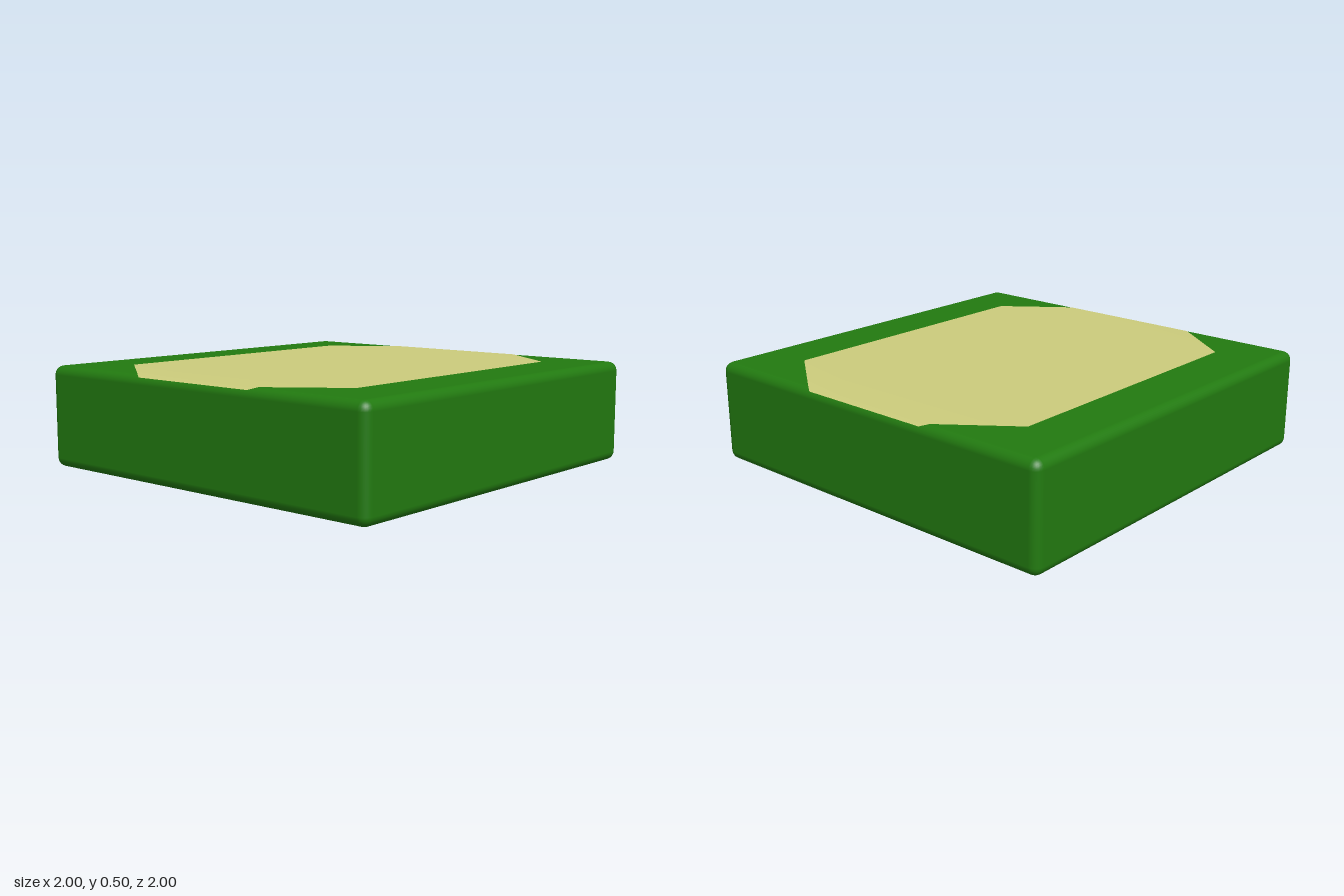
import * as THREE from 'three';
import { RoundedBoxGeometry } from 'three/addons/geometries/RoundedBoxGeometry.js';

// Cross-sections of the path along x: [x, height, half depth]
const PATH_SECTIONS = [
  [-0.99, 0.488, 0.35],
  [-0.963, 0.501, 0.39],
  [-0.72, 0.501, 0.715],
  [0.72, 0.501, 0.715],
  [0.963, 0.501, 0.39],
  [0.99, 0.488, 0.35],
];

// Thin sheet lying on the block and dipping over its two side edges
function pathGeometry() {
  const geometry = new THREE.PlaneGeometry(1, 1, PATH_SECTIONS.length - 1, 1);
  const position = geometry.attributes.position;
  for (let i = 0; i < position.count; i++) {
    const [x, y, halfDepth] = PATH_SECTIONS[i % PATH_SECTIONS.length];
    const side = i < PATH_SECTIONS.length ? -1 : 1;
    position.setXYZ(i, x, y, side * halfDepth);
  }
  geometry.computeVertexNormals();
  return geometry;
}

export function createModel() {
  const model = new THREE.Group();
  model.name = 'pathTile';

  // Grassy block with softened edges
  const grass = new THREE.Mesh(
    new RoundedBoxGeometry(2, 0.5, 2, 3, 0.045),
    new THREE.MeshStandardMaterial({ color: 0x227a10 })
  );
  grass.name = 'grassBlock';
  grass.position.y = 0.25;

  // Sandy path across the top
  const path = new THREE.Mesh(
    pathGeometry(),
    new THREE.MeshStandardMaterial({ color: 0xcccc7c, side: THREE.DoubleSide })
  );
  path.name = 'sandPath';

  model.add(grass, path);
  return model;
}
